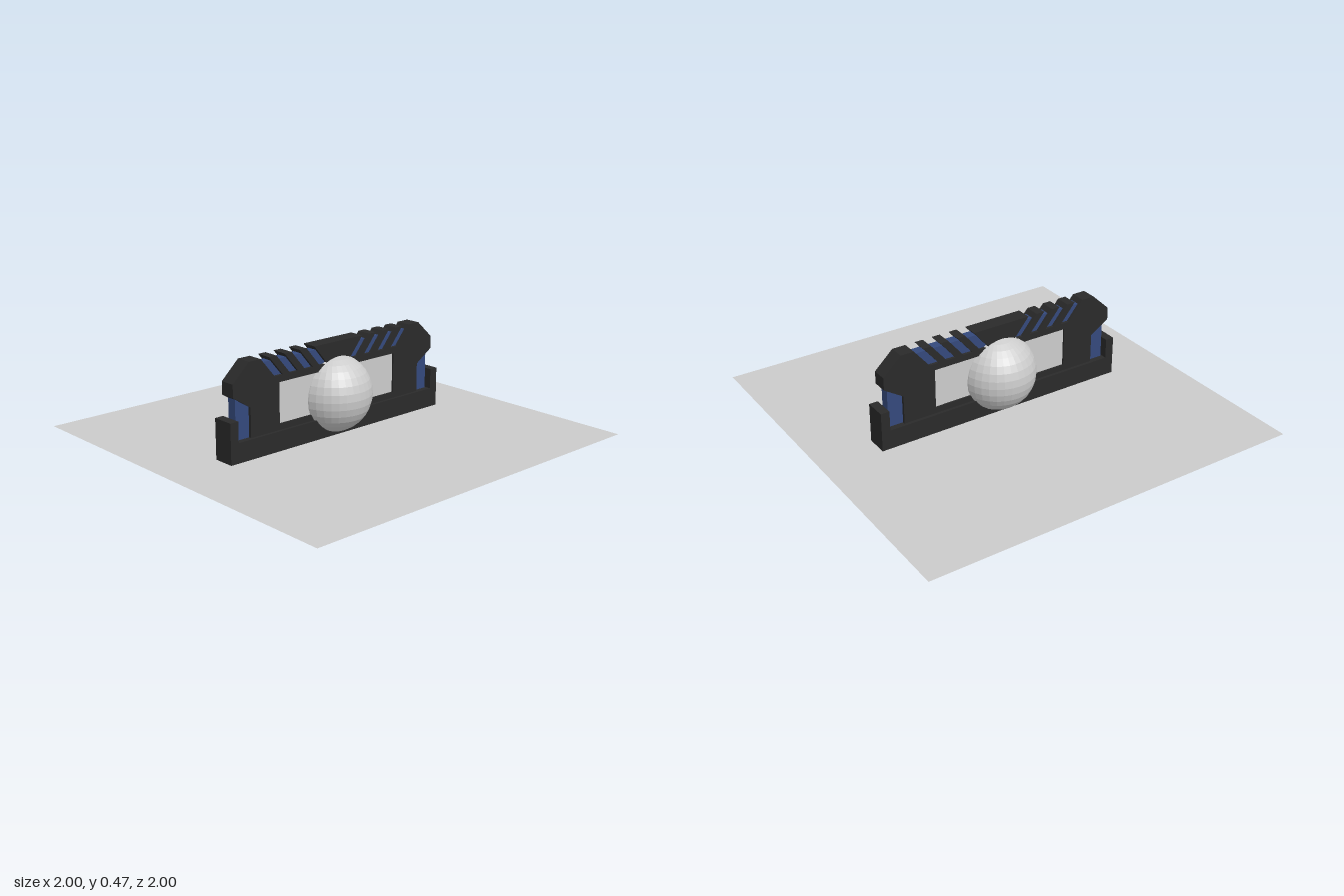
import * as THREE from 'three';

const grey = new THREE.MeshStandardMaterial({ color: 0xcccccc, flatShading: true });
const sheetGrey = new THREE.MeshStandardMaterial({ color: 0xcccccc, side: THREE.DoubleSide });
const dark = new THREE.MeshStandardMaterial({ color: 0x2a2a2a, flatShading: true });
const blue = new THREE.MeshStandardMaterial({ color: 0x34497c, flatShading: true });

// Closed shape from its left half (bottom centre outwards to top centre), mirrored in x
function mirroredShape(half) {
  const right = half.map(([x, y]) => new THREE.Vector2(-x, y));
  const left = half.map(([x, y]) => new THREE.Vector2(x, y)).reverse();
  return new THREE.Shape([...right, ...left]);
}

// Plate of the given shape, centred on z = 0
function plate(name, shape, halfDepth, material) {
  const geometry = new THREE.ExtrudeGeometry(shape, { depth: 2 * halfDepth, bevelEnabled: false });
  geometry.translate(0, 0, -halfDepth);
  const mesh = new THREE.Mesh(geometry, material);
  mesh.name = name;
  return mesh;
}

export function createModel() {
  const group = new THREE.Group();
  group.name = 'model';

  // Wide flat sheet underneath
  const sheet = new THREE.Mesh(new THREE.PlaneGeometry(2, 2), sheetGrey);
  sheet.name = 'baseSheet';
  sheet.rotation.x = -Math.PI / 2;
  group.add(sheet);

  // Bottom rail with upright ends
  const rail = mirroredShape([[-0.688, 0], [-0.688, 0.205], [-0.642, 0.205], [-0.642, 0.1]]);
  group.add(plate('bottomRail', rail, 0.057, dark));

  // Frame: chamfered shoulders, four slanted notches per side, window
  const half = [[-0.555, 0.1], [-0.555, 0.25], [-0.656, 0.315], [-0.656, 0.38], [-0.56, 0.47]];
  for (let i = 0; i < 4; i++) {
    const x = -0.49 + i * 0.094;
    half.push([x, 0.47], [x + 0.083, 0.37], [x + 0.133, 0.37], [x + 0.05, 0.47]);
  }
  const frame = mirroredShape(half);
  frame.holes.push(new THREE.Path([
    new THREE.Vector2(-0.38, 0.13), new THREE.Vector2(-0.38, 0.337),
    new THREE.Vector2(0.38, 0.337), new THREE.Vector2(0.38, 0.13),
  ]));
  group.add(plate('frame', frame, 0.04, dark));

  // Blue core seen in the notches and at both ends
  const core = mirroredShape([[-0.634, 0.1], [-0.634, 0.35], [-0.535, 0.448]]);
  group.add(plate('core', core, 0.025, blue));

  // Grey panel filling the window
  const panel = new THREE.Mesh(new THREE.BoxGeometry(0.76, 0.207, 0.062), grey);
  panel.name = 'windowPanel';
  panel.position.y = 0.2335;
  group.add(panel);

  // Ball in the middle
  const ball = new THREE.Mesh(new THREE.SphereGeometry(0.197, 32, 16), grey);
  ball.name = 'ball';
  ball.position.y = 0.2;
  group.add(ball);

  return group;
}
